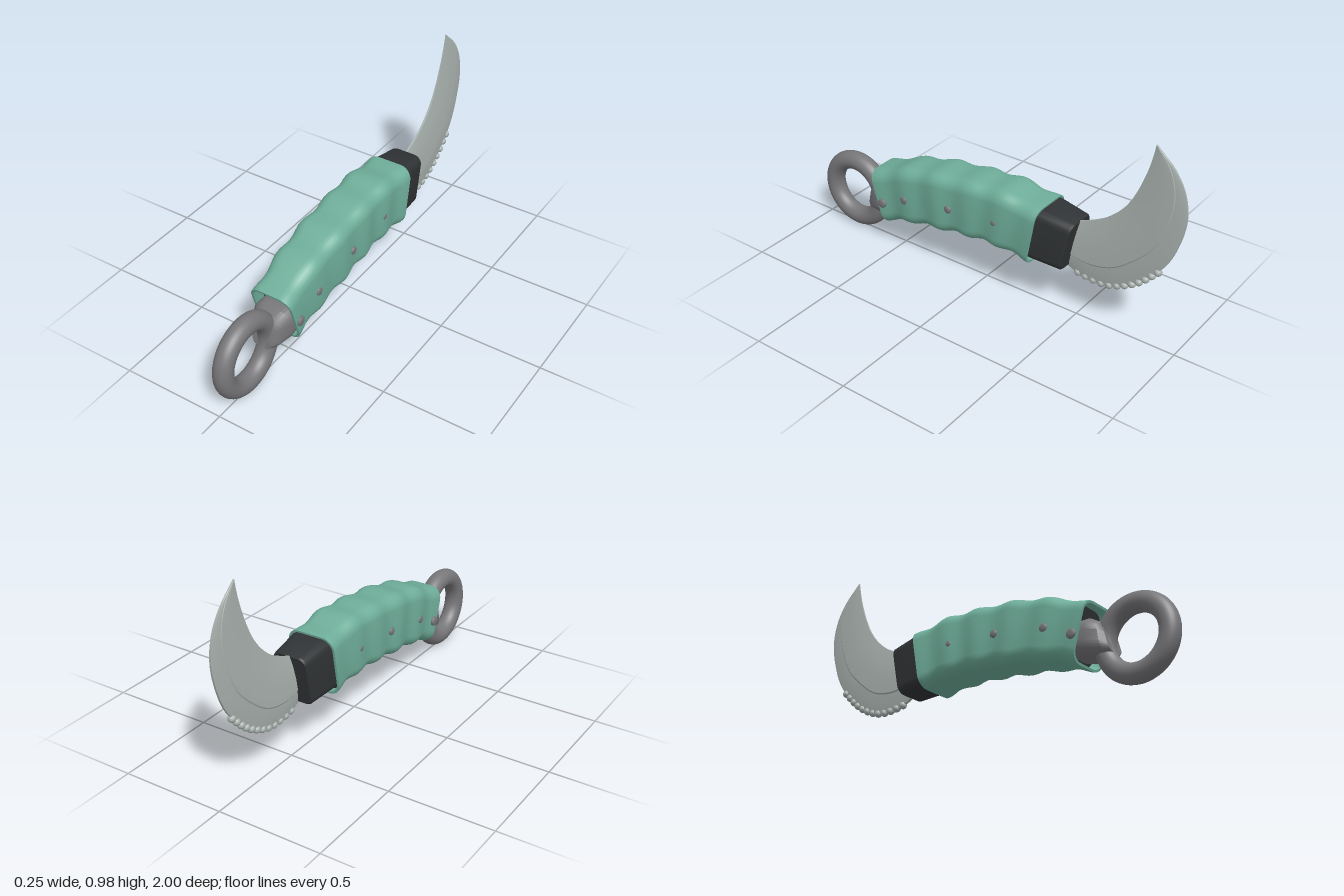
import * as THREE from 'three';
import { toCreasedNormals } from 'three/addons/utils/BufferGeometryUtils.js';

const material = (color) => new THREE.MeshStandardMaterial({ color });
const green = material(0x6fae9a), black = material(0x303335);
const steel = material(0x77777a), bladeSteel = material(0xa9b2ae);

// Curve in the side plane from [z, y] pairs
const sideCurve = (pts) => new THREE.CatmullRomCurve3(pts.map(([z, y]) => new THREE.Vector3(0, y, z)));
const sidePoint = ([z, y]) => new THREE.Vector3(0, y, z);

// Rounded rectangle spanning top and bottom points, half width w, corner radius r
function roundedRing(top, bottom, w, r, steps = 6) {
  const mid = top.clone().add(bottom).multiplyScalar(0.5);
  const up = top.clone().sub(bottom);
  const h = up.length() / 2;
  up.normalize();
  const ring = [];
  [[1, 1], [-1, 1], [-1, -1], [1, -1]].forEach(([sx, sy], q) => {
    for (let i = 0; i <= steps; i++) {
      const a = (q + i / steps) * Math.PI / 2;
      const p = mid.clone().addScaledVector(up, sy * (h - r) + r * Math.sin(a));
      p.x = sx * (w - r) + r * Math.cos(a);
      ring.push(p);
    }
  });
  return ring;
}

// Skin over rings, ordered from +z to -z
function loft(rings, { capped = true, crease = 0.6 } = {}) {
  const n = rings[0].length, pos = [], idx = [];
  rings.forEach((ring) => ring.forEach((p) => pos.push(p.x, p.y, p.z)));
  for (let s = 0; s < rings.length - 1; s++) {
    for (let i = 0; i < n; i++) {
      const j = (i + 1) % n;
      const a = s * n + i, b = s * n + j, c = b + n, d = a + n;
      idx.push(a, c, b, a, d, c);
    }
  }
  if (capped) {
    [0, rings.length - 1].forEach((s, end) => {
      const c = new THREE.Vector3();
      rings[s].forEach((p) => c.addScaledVector(p, 1 / n));
      const k = pos.length / 3;
      pos.push(c.x, c.y, c.z);
      for (let i = 0; i < n; i++) {
        const a = s * n + i, b = s * n + (i + 1) % n;
        idx.push(k, end ? b : a, end ? a : b);
      }
    });
  }
  const geo = new THREE.BufferGeometry();
  geo.setAttribute('position', new THREE.Float32BufferAttribute(pos, 3));
  geo.setIndex(idx);
  return toCreasedNormals(geo, crease);
}

export function createModel() {
  const model = new THREE.Group();
  model.name = 'curvedKnife';
  const add = (name, geo, mat, parent = model) => {
    const mesh = new THREE.Mesh(geo, mat);
    mesh.name = name;
    parent.add(mesh);
    return mesh;
  };

  // Handle: hollow, arched grip with soft ridges
  const gripTop = sideCurve([[0.625, 0.405], [0.426, 0.482], [0.233, 0.525], [0.03, 0.55], [-0.15, 0.56], [-0.345, 0.535]]);
  const gripBottom = sideCurve([[0.545, 0.137], [0.38, 0.187], [0.2, 0.22], [0.04, 0.243], [-0.12, 0.253], [-0.292, 0.238]]);
  const gripRing = (t, inset) => {
    const top = gripTop.getPoint(t), bottom = gripBottom.getPoint(t);
    const dip = 0.009 * (0.5 - 0.5 * Math.cos(10 * Math.PI * t)) + inset;
    const up = top.clone().sub(bottom).normalize();
    top.addScaledVector(up, -dip);
    bottom.addScaledVector(up, dip);
    const w = 0.107 + 0.013 * Math.min(1, t * 2.5);
    return roundedRing(top, bottom, w - dip, 0.06 - inset);
  };
  const steps = 60, wall = 0.011, shell = [];
  for (let i = 0; i <= steps; i++) shell.push(gripRing(i / steps, 0));
  for (let i = steps; i >= 0; i--) shell.push(gripRing(i / steps, wall));
  shell.push(gripRing(0, 0));
  add('handle', loft(shell, { capped: false }), green);

  // Dark core inside the handle
  const core = [];
  for (let i = 2; i <= 39; i++) core.push(gripRing(i / 40, wall + 0.004));
  add('handleCore', loft(core), black);

  // Collar between handle and blade
  const collar = [
    [[-0.3, 0.525], [-0.255, 0.27], 0.102],
    [[-0.348, 0.526], [-0.3, 0.264], 0.1],
    [[-0.495, 0.503], [-0.448, 0.256], 0.088],
    [[-0.502, 0.498], [-0.456, 0.261], 0.082],
  ];
  add('collar', loft(collar.map(([a, b, w]) => roundedRing(sidePoint(a), sidePoint(b), w, 0.04))), black);

  // Blade: tapered section swept between the inner and outer edges
  const inner = sideCurve([[-0.43, 0.485], [-0.5, 0.5], [-0.57, 0.53], [-0.63, 0.565], [-0.69, 0.62], [-0.735, 0.68],
    [-0.77, 0.75], [-0.8, 0.83], [-0.82, 0.9], [-0.83, 0.95], [-0.835, 0.98]]);
  const outer = sideCurve([[-0.41, 0.28], [-0.465, 0.245], [-0.55, 0.215], [-0.69, 0.235], [-0.82, 0.325], [-0.92, 0.43],
    [-0.975, 0.555], [-1, 0.69], [-0.98, 0.807], [-0.925, 0.9], [-0.838, 0.979]]);
  // [position from outer to inner edge, relative half thickness]
  const section = [[0, 0.3], [0.12, 0.65], [0.29, 0.8], [0.31, 1], [0.55, 1], [0.8, 0.75], [1, 0.25]];
  const bladeRings = [];
  for (let s = 0; s <= 48; s++) {
    const t = s / 48, a = outer.getPoint(t), b = inner.getPoint(t);
    const thick = 0.021 * (1 - 0.8 * t ** 2.5);
    const half = (sign) => section.map(([v, k]) => {
      const p = a.clone().lerp(b, v);
      p.x = sign * thick * k;
      return p;
    });
    bladeRings.push([...half(1), ...half(-1).reverse()]);
  }
  add('blade', loft(bladeRings, { crease: 0.35 }), bladeSteel);

  // Rounded teeth along the lower outer edge
  const teeth = new THREE.Group();
  teeth.name = 'teeth';
  model.add(teeth);
  const toothPath = sideCurve([[-0.5, 0.234], [-0.57, 0.225], [-0.65, 0.228], [-0.735, 0.26], [-0.81, 0.31], [-0.89, 0.39]]);
  const toothGeo = new THREE.SphereGeometry(0.018, 14, 10);
  for (let i = 0; i < 12; i++) add('tooth', toothGeo, bladeSteel, teeth).position.copy(toothPath.getPointAt(i / 11));

  // Finger ring and the tapered block joining it to the handle
  const ring = add('fingerRing', new THREE.TorusGeometry(0.154, 0.046, 28, 72), steel);
  ring.rotation.y = Math.PI / 2;
  ring.position.set(0, 0.205, 0.8);
  const neck = [
    [[0.665, 0.285], [0.695, 0.163], 0.05, 0.035],
    [[0.648, 0.31], [0.668, 0.158], 0.075, 0.05],
    [[0.612, 0.33], [0.585, 0.163], 0.096, 0.06],
    [[0.55, 0.33], [0.5, 0.185], 0.096, 0.06],
  ];
  add('ringNeck', loft(neck.map(([a, b, w, r]) => roundedRing(sidePoint(a), sidePoint(b), w, r))), steel);

  // Pins through the handle, with domed heads on both sides
  const pins = new THREE.Group();
  pins.name = 'pins';
  model.add(pins);
  [[0.55, 0.257, 0.023, 0.111], [0.41, 0.325, 0.02, 0.112], [0.143, 0.374, 0.019, 0.115], [-0.118, 0.4, 0.016, 0.115]]
    .forEach(([z, y, r, x]) => {
      const shaft = add('pinShaft', new THREE.CylinderGeometry(r, r, 2 * x, 20), steel, pins);
      shaft.rotation.z = Math.PI / 2;
      shaft.position.set(0, y, z);
      for (const side of [1, -1]) {
        const head = add('pinHead', new THREE.SphereGeometry(r, 18, 12), steel, pins);
        head.scale.x = 0.008 / r;
        head.position.set(side * x, y, z);
      }
    });

  return model;
}
